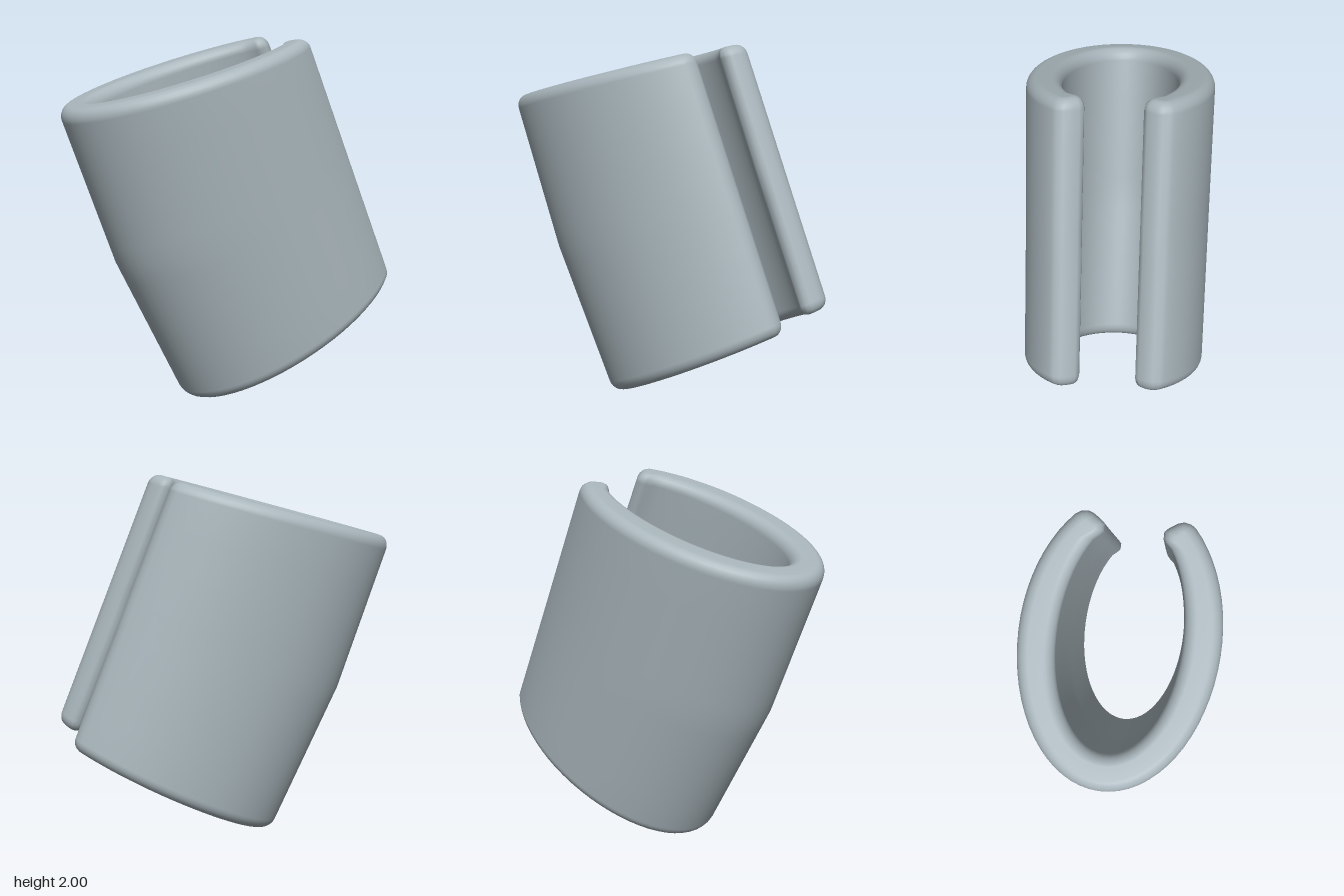
import * as THREE from 'three';

const STEPS = 26;      // points along each half wall
const WIDTH = 1.35;    // section width from back to open tips
const ROUND = 0.06;    // rim rounding radius
const CENTRE = 0.75;   // ellipse centre, measured from the back

// Half ellipse wall from the back (z = 0) to the open tip
function wall(back, front, depth, endCos) {
  const end = Math.acos(-endCos);
  return Array.from({ length: STEPS + 1 }, (_, i) => {
    const a = end * i / STEPS, c = Math.cos(a);
    return [CENTRE - (c > 0 ? back : front) * c, depth * Math.sin(a)];
  });
}

// Closed C-shaped section; inset shrinks it for the rounded rims
function section(inset) {
  const shrink = 1 - inset / 0.1;
  const tip = pts => pts.map(([u, z]) => [1.26 + (u - 1.26) * shrink, 0.235 + (z - 0.235) * shrink]);
  const outer = [
    ...wall(0.75 - inset, 0.72 - inset, 0.5 - inset, 0.8),
    ...tip([[1.343, 0.275], [1.35, 0.24], [1.34, 0.21], [1.325, 0.187]]),
  ];
  const inner = [
    ...wall(0.565 + inset, 0.589 + inset, 0.31 + inset, 0.78 - 1.2 * inset),
    ...tip([[1.235, 0.165], [1.255, 0.148], [1.29, 0.147], [1.31, 0.165]]),
  ];
  const both = half => [...half.slice(1).reverse().map(([u, z]) => [u, -z]), ...half];
  return [...both(outer), ...both(inner).reverse()];
}

// Back edge bends in the middle, open edge runs straight
const backEdge = [[-0.94, 1.648], [-0.64, 0.8], [-0.24, -0.022]].map(p => new THREE.Vector2(...p));
const openEdge = [[0.365, 2.018], [0.65, 1.324], [0.935, 0.63]].map(p => new THREE.Vector2(...p));
function along(edge, t) {
  return t < 0.5
    ? edge[0].clone().lerp(edge[1], t * 2)
    : edge[1].clone().lerp(edge[2], t * 2 - 1);
}

function sleeveGeometry() {
  // Ring stations: rounded top rim, middle, rounded bottom rim
  const rings = [];
  for (let i = 0; i <= 6; i++) {
    const a = (i / 6) * Math.PI / 2;
    rings.push({ t: ROUND * (1 - Math.sin(a)) / 1.55, inset: ROUND * (1 - Math.cos(a)) });
  }
  rings.reverse();
  // the flat rim comes first, the full section last
  rings.sort((a, b) => a.t - b.t);
  const bottom = rings.map(r => ({ t: 1 - r.t, inset: r.inset })).reverse();
  const middle = [0.15, 0.3, 0.44, 0.5, 0.56, 0.7, 0.85].map(t => ({ t, inset: 0 }));
  const all = [...rings, ...middle, ...bottom];

  const position = [], index = [];
  for (const { t, inset } of all) {
    const from = along(backEdge, t), to = along(openEdge, t);
    for (const [u, z] of section(inset)) {
      const p = from.clone().lerp(to, u / WIDTH);
      position.push(p.x, p.y, z);
    }
  }
  const n = section(0).length;

  // Walls
  for (let k = 0; k < all.length - 1; k++) {
    for (let i = 0; i < n; i++) {
      const a = k * n + i, b = k * n + (i + 1) % n;
      index.push(a, a + n, b, b, a + n, b + n);
    }
  }
  // Flat bands on both rims
  const last = (all.length - 1) * n;
  for (let j = 0; j < n / 2 - 1; j++) {
    const o = j, o2 = j + 1, i = n - 1 - j, i2 = n - 2 - j;
    index.push(o, o2, i, o2, i2, i);
    index.push(last + o, last + i, last + o2, last + o2, last + i, last + i2);
  }

  const geometry = new THREE.BufferGeometry();
  geometry.setAttribute('position', new THREE.Float32BufferAttribute(position, 3));
  geometry.setIndex(index);
  geometry.computeVertexNormals();
  return geometry;
}

export function createModel() {
  const blueGrey = new THREE.MeshStandardMaterial({ color: 0xa8b5bb });
  blueGrey.name = 'blue grey';
  const sleeve = new THREE.Mesh(sleeveGeometry(), blueGrey);
  sleeve.name = 'openSleeve';
  const model = new THREE.Group();
  model.name = 'splitSleeve';
  model.add(sleeve);
  return model;
}
